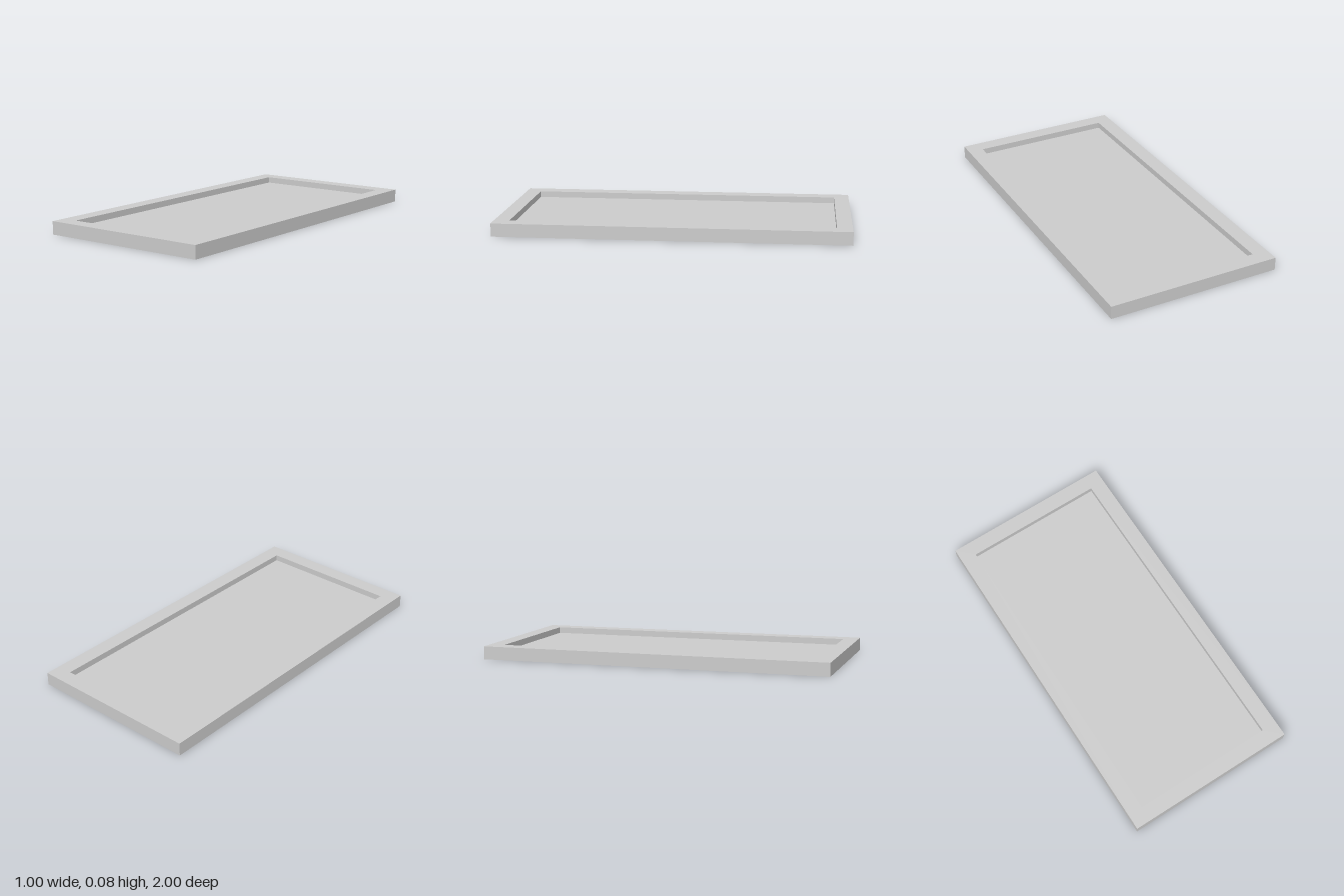
import * as THREE from 'three';

const WIDTH = 1, LENGTH = 2, HEIGHT = 0.075;
const OPEN_W = 0.82, OPEN_L = 1.825; // opening inside the frame
const PANEL = 0.004;

// Traces a centred rectangle onto a Shape or Path
function rectangle(path, w, l) {
  path.moveTo(-w / 2, -l / 2);
  path.lineTo(w / 2, -l / 2);
  path.lineTo(w / 2, l / 2);
  path.lineTo(-w / 2, l / 2);
  path.closePath();
  return path;
}

export function createModel() {
  const group = new THREE.Group();
  group.name = 'framedPanel';
  const material = new THREE.MeshStandardMaterial({ color: 0xcccccc, flatShading: true });

  // Rectangular frame, laid flat
  const outline = rectangle(new THREE.Shape(), WIDTH, LENGTH);
  outline.holes.push(rectangle(new THREE.Path(), OPEN_W, OPEN_L));
  const frameGeometry = new THREE.ExtrudeGeometry(outline, { depth: HEIGHT, bevelEnabled: false });
  frameGeometry.rotateX(-Math.PI / 2);
  const frame = new THREE.Mesh(frameGeometry, material);
  frame.name = 'frame';
  group.add(frame);

  // Thin panel at mid height, recessed from both faces
  const panel = new THREE.Mesh(new THREE.BoxGeometry(OPEN_W, PANEL, OPEN_L), material);
  panel.name = 'panel';
  panel.position.y = HEIGHT / 2;
  group.add(panel);

  return group;
}
